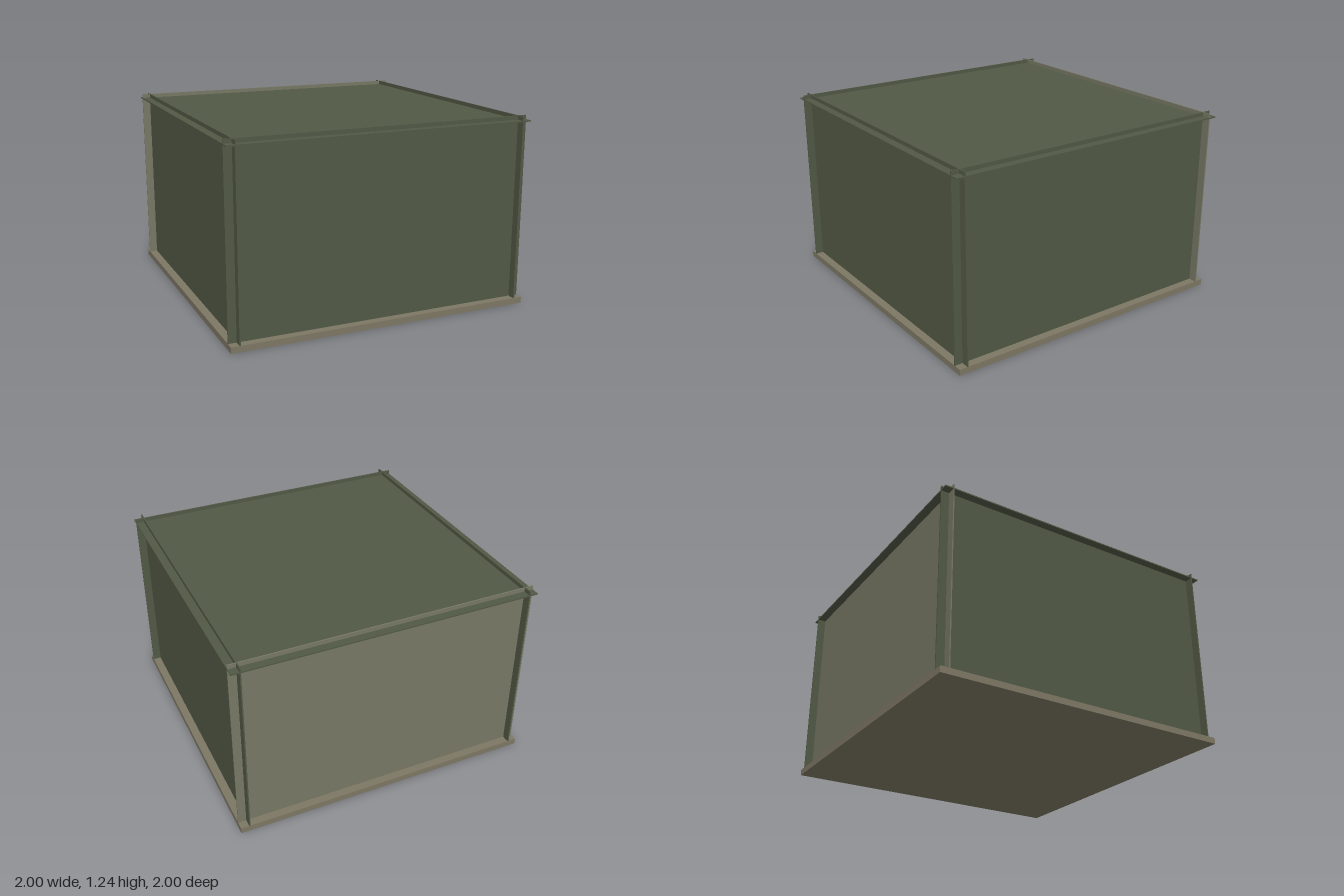
import * as THREE from 'three';

export function createModel() {
  const group = new THREE.Group();
  const paint = (name, color) => {
    const m = new THREE.MeshStandardMaterial({ color });
    m.name = name;
    return m;
  };
  const green = paint('olive green', 0x525945);
  const greyTan = paint('grey tan', 0x787865);
  const tan = paint('floor tan', 0x7d7764);

  const panel = (name, size, position, material) => {
    const mesh = new THREE.Mesh(new THREE.BoxGeometry(...size), material);
    mesh.name = name;
    mesh.position.set(...position);
    group.add(mesh);
  };

  const floorTop = 0.04, wallTop = 1.24, thin = 0.008, inset = 0.943;
  const wallHeight = wallTop - floorTop;
  const wallY = (wallTop + floorTop) / 2;

  // Floor slab
  panel('floor', [2, floorTop, 2], [0, floorTop / 2, 0], tan);

  // Thin walls, set in from the edge and crossing at the corners
  panel('frontWall', [2, wallHeight, thin], [0, wallY, inset], green);
  panel('backWall', [2, wallHeight, thin], [0, wallY, -inset], greyTan);
  panel('leftWall', [thin, wallHeight, 2], [inset, wallY, 0], green);
  panel('rightWall', [thin, wallHeight, 2], [-inset, wallY, 0], green);

  // Roof sheet, just below the wall tops and overhanging them
  panel('roof', [2, thin, 2], [0, 1.21, 0], green);

  return group;
}
